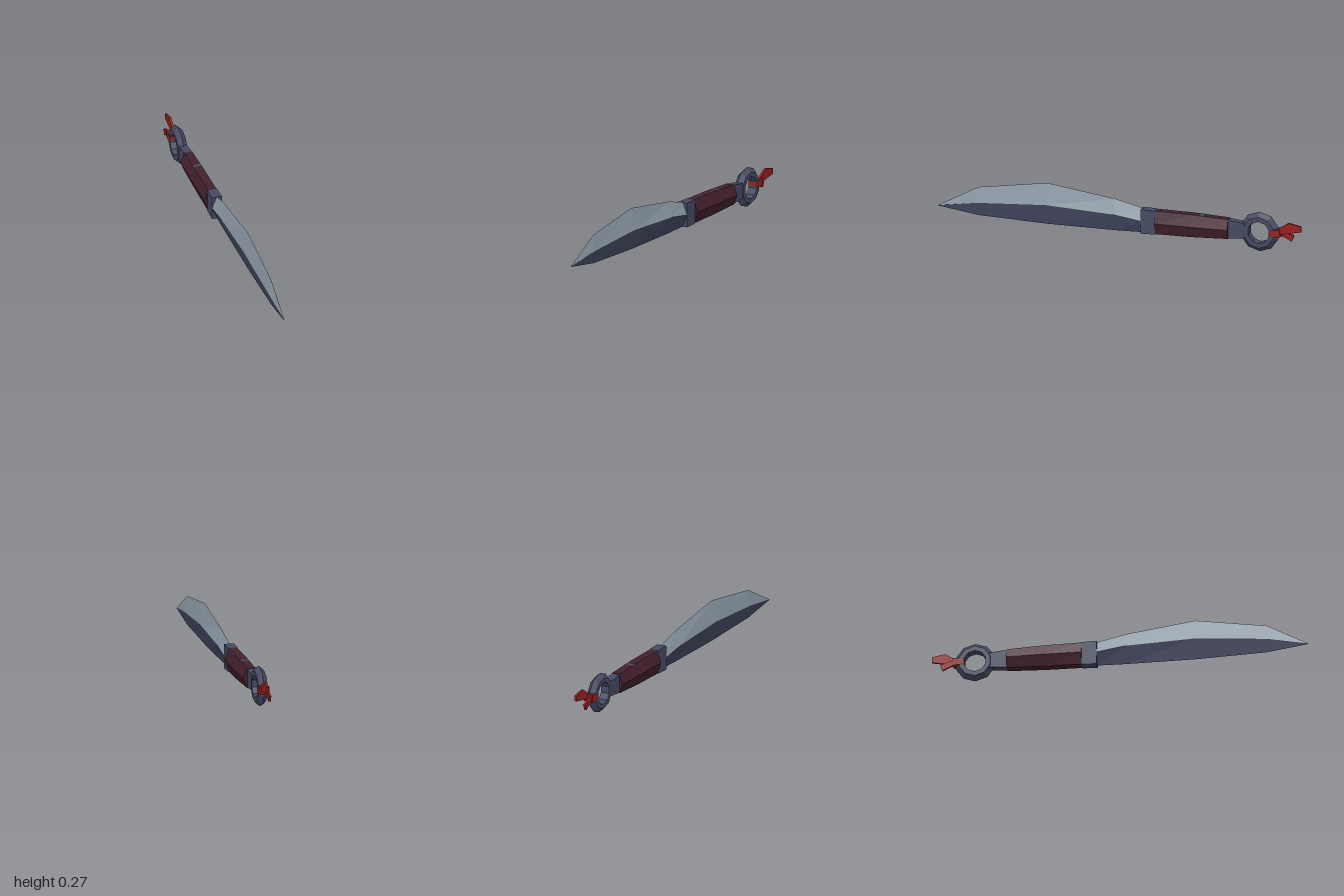
import * as THREE from 'three';

const mat = (name, color) => {
  const m = new THREE.MeshStandardMaterial({ color, flatShading: true });
  m.name = name;
  return m;
};

// Skins cross-sections [z, [[x, y], ...]] ordered front to back, corners anticlockwise from the front.
function loft(sections, closed = true) {
  const pos = [];
  const n = sections[0][1].length;
  const put = (i, j) => pos.push(...sections[i][1][j % n], sections[i][0]);
  const tri = (...ps) => ps.forEach(([i, j]) => put(i, j));
  const last = sections.length - 1;
  for (let i = 0; i < last; i++) {
    for (let j = 0; j < (closed ? n : n - 1); j++) {
      tri([i, j], [i + 1, j], [i + 1, j + 1]);
      tri([i, j], [i + 1, j + 1], [i, j + 1]);
    }
  }
  for (let j = 1; j < n - 1; j++) {
    tri([0, 0], [0, j], [0, j + 1]);
    tri([last, 0], [last, j + 1], [last, j]);
  }
  const g = new THREE.BufferGeometry();
  g.setAttribute('position', new THREE.Float32BufferAttribute(pos, 3));
  g.computeVertexNormals();
  return g;
}

const rect = (z, w, y0, y1) => [z, [[w, y0], [w, y1], [-w, y1], [-w, y0]]];

export function createModel() {
  const group = new THREE.Group();
  const steel = mat('steel', 0x8c9aa6);
  const darkMetal = mat('dark metal', 0x454a63);
  const gripRed = mat('grip maroon', 0x44202d);
  const cloth = mat('red cloth', 0x962020);
  const add = (name, geometry, material) => {
    const mesh = new THREE.Mesh(geometry, material);
    mesh.name = name;
    group.add(mesh);
    return mesh;
  };

  // Blade: z, half width, spine y, ridge y, edge y
  const blade = [
    [1.0, 0.001, 0.092, 0.09, 0.088],
    [0.78, 0.016, 0.21, 0.127, 0.056],
    [0.4, 0.025, 0.267, 0.152, 0.043],
    [0.03, 0.028, 0.215, 0.135, 0.042],
    [-0.13, 0.027, 0.177, 0.11, 0.045],
  ];
  add('bladeUpper', loft(blade.map(([z, w, top, mid]) =>
    [z, [[w, mid], [0, top], [-w, mid]]]), false), steel);
  add('bladeLower', loft(blade.map(([z, w, , mid, low]) =>
    [z, [[-w, mid], [0, low], [w, mid]]]), false), darkMetal);

  // Guard block and tapering handle core
  add('guard', loft([rect(-0.12, 0.027, 0.044, 0.176), rect(-0.2, 0.026, 0.046, 0.174)]), darkMetal);
  add('handleCore', loft([
    rect(-0.2, 0.024, 0.048, 0.173),
    rect(-0.45, 0.023, 0.052, 0.17),
    rect(-0.6, 0.022, 0.06, 0.16),
    rect(-0.69, 0.022, 0.068, 0.15),
  ]), darkMetal);

  // Grip with a ridge along each side
  const gripSections = [[-0.2, 0.043, 0.048, 0.174], [-0.4, 0.046, 0.05, 0.172], [-0.6, 0.043, 0.058, 0.163]];
  add('grip', loft(gripSections.map(([z, w, y0, y1]) => [z, [
    [0.024, y0], [w, 0.11], [0.022, y1], [-0.022, y1], [-w, 0.11], [-0.024, y0],
  ]])), gripRed);

  // Ten-sided pommel ring with a ridged rim
  const profile = [[0.06, -0.025], [0.085, -0.025], [0.108, 0], [0.085, 0.025], [0.06, 0.025], [0.06, -0.025]]
    .map(([r, h]) => new THREE.Vector2(r, h));
  const ringGeo = new THREE.LatheGeometry(profile, 10, Math.PI / 2).toNonIndexed();
  ringGeo.rotateZ(Math.PI / 2);
  ringGeo.computeVertexNormals();
  add('pommelRing', ringGeo, darkMetal).position.set(0, 0.108, -0.768);

  // Cloth knot round the ring and two tails
  add('clothKnot', loft([
    rect(-0.825, 0.026, 0.1, 0.122),
    rect(-0.855, 0.028, 0.09, 0.13),
    rect(-0.885, 0.026, 0.092, 0.132),
  ]), cloth);
  const tail = (name, x, points) => {
    const shape = new THREE.Shape(points.map(([z, y]) => new THREE.Vector2(-z, y)));
    const g = new THREE.ExtrudeGeometry(shape, { depth: 0.012, bevelEnabled: false });
    g.translate(0, 0, -0.006).rotateY(Math.PI / 2);
    add(name, g, cloth).position.x = x;
  };
  tail('upperTail', 0.011, [[-0.86, 0.1], [-0.945, 0.118], [-1.0, 0.128], [-1.0, 0.158], [-0.93, 0.172], [-0.86, 0.128]]);
  tail('lowerTail', -0.013, [[-0.86, 0.094], [-0.9, 0.086], [-0.94, 0.066], [-0.953, 0.097], [-0.9, 0.118], [-0.86, 0.124]]);

  return group;
}
